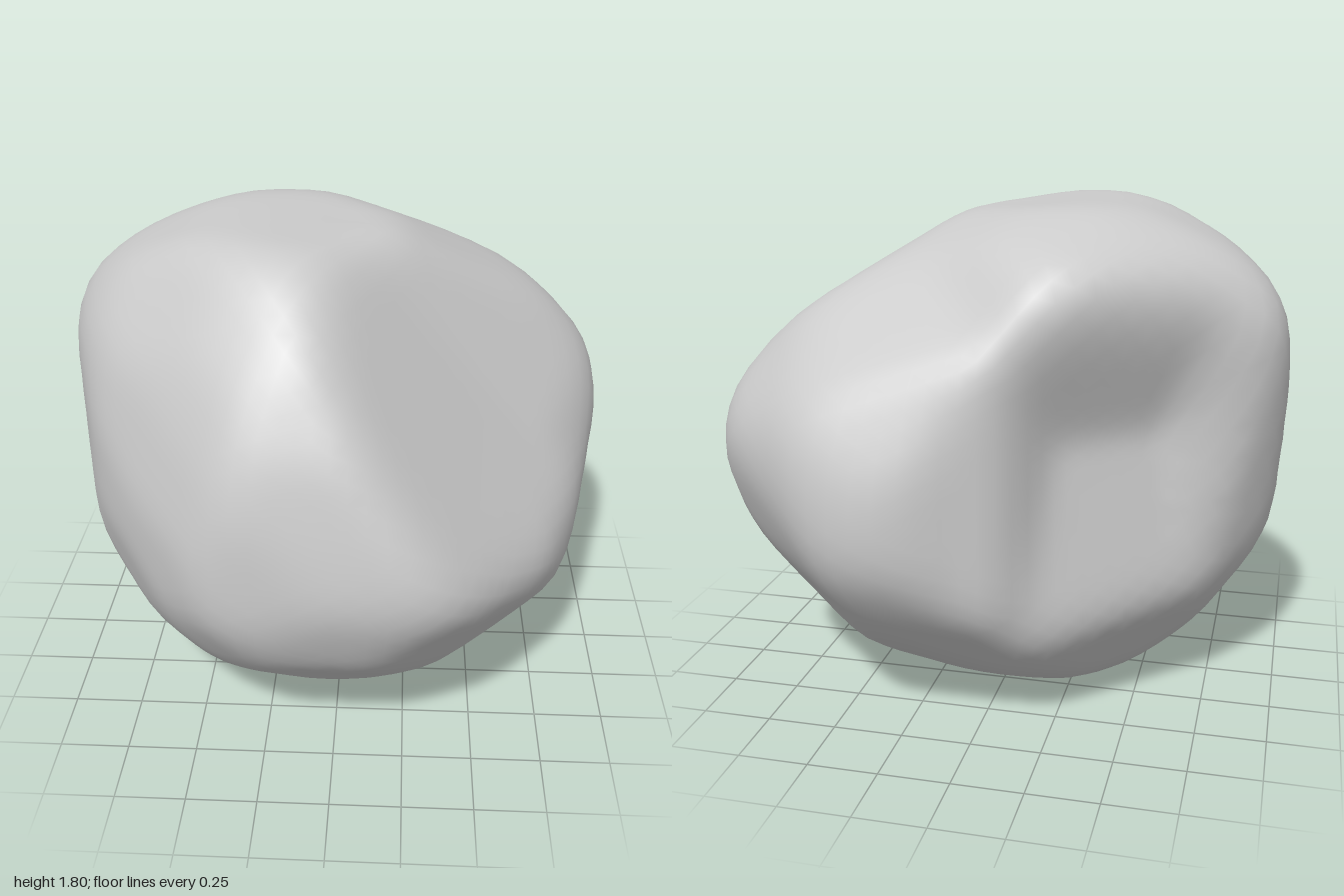
import * as THREE from 'three';
import { mergeVertices } from 'three/addons/utils/BufferGeometryUtils.js';

const rad = THREE.MathUtils.degToRad;

// Carving outlines [u,v, ...] around the boulder's middle, each cut along one direction
const front = [1, .03, .93, .27, .75, .48, .18, .85, -.29, .89, -.49, .87, -.78, .74, -.93, .62, -1, .4, -1, .08,
  -.96, -.25, -.88, -.42, -.68, -.68, -.43, -.87, -.3, -.9, .21, -.81, .53, -.69, .87, -.42, .97, -.14];
const side = [-.95, -.15, -.92, .07, -.86, .35, -.72, .65, -.5, .86, -.35, .9, .27, .88, .67, .74, .75, .67, .83, .35,
  .92, .1, .95, -.06, .93, -.24, .81, -.42, .55, -.71, .33, -.84, .11, -.9, -.15, -.9, -.44, -.81, -.84, -.43];
const plan = [.99, .33, .98, .49, .88, .63, .52, .91, .32, .95, .16, .92, 0, .83, -.26, .77, -.63, .54, -.94, .27,
  -1, .08, -.86, -.36, -.59, -.74, -.44, -.88, 0, -.95, .27, -.94, .46, -.88, .74, -.47, .88, -.11];
const cornerA = [1.09, .07, 1.09, -.18, .97, -.37, .63, -.66, .29, -.85, 0, -.9, -.33, -.86, -.71, -.63, -.89, -.37,
  -.91, .02, -.9, .32, -.8, .67, -.65, .86, -.48, .96, -.12, .98, .18, .96, .29, .91, .43, .74, .81, .49, .95, .38];
const cornerB = [.92, -.11, .91, .09, .83, .41, .73, .63, .5, .88, .37, .93, .03, .89, -.41, .72, -.85, .49,
  -1.05, .31, -1.09, -.02, -1, -.4, -.91, -.52, -.28, -.85, .03, -.94, .32, -.92, .64, -.74, .79, -.55];
const cornerC = [.9, .31, .87, .53, .69, .79, .38, .87, -.19, .85, -.33, .82, -.52, .61, -.65, .22, -.83, -.05,
  -.91, -.31, -.63, -.65, -.42, -.8, -.21, -.9, .2, -.94, .44, -.86, .59, -.77, .74, -.52, .81, -.17];

// Each cut: outline, heading and pitch of the carving direction
const cuts = [[front, 0, 0], [side, 90, 0], [plan, 0, 90], [cornerA, 40, 25], [cornerB, 220, 25], [cornerC, 140, -25]]
  .map(([outline, heading, pitch]) => {
    const h = rad(heading), p = rad(pitch);
    return {
      outline,
      right: new THREE.Vector3(Math.cos(h), 0, -Math.sin(h)),
      up: new THREE.Vector3(-Math.sin(h) * Math.sin(p), Math.cos(p), -Math.cos(h) * Math.sin(p)),
    };
  });

const plane = ([x, y, z, d]) => ({ normal: new THREE.Vector3(x, y, z).normalize(), d });

// Broken flat faces: normal and distance from the middle
const facets = [
  [-1, 1, 1, .96], [-1, -1, 1, .94], [1, -1, 1, .88], [1, -.5, -1, .99],
  [1, -1, -1, .94], [-1, -1, -1, .84], [-1, 1, -1, 1], [1, 1, -1, .97],
].map(plane);

// Hollows, cut only where all their planes overlap
const hollows = [
  // large, slightly dished flat face
  [[.735, .541, .416, .622], [.685, .479, .554, .602]],
  // hollow under the rear ledge: overhang, floor and two side walls
  [[-.57, -.33, -.75, .515], [-.59, .13, -.8, .615], [.15, 0, -1, .2], [-1, 0, -.5, .47]],
].map((planes) => planes.map(plane));

// Distance to a plane along a direction
function planeReach(dir, { normal, d }) {
  const k = dir.dot(normal);
  return k > .01 ? d / k : Infinity;
}

// Distance to an outline along the direction (a, b)
function reach(outline, a, b) {
  const n = outline.length;
  let best = Infinity;
  for (let i = 0; i < n; i += 2) {
    const px = outline[i], py = outline[i + 1];
    const ex = outline[(i + 2) % n] - px, ey = outline[(i + 3) % n] - py;
    const den = a * ey - b * ex;
    if (Math.abs(den) < 1e-9) continue;
    const t = (px * ey - py * ex) / den, w = (px * b - py * a) / den;
    if (t > 0 && w >= -1e-6 && w <= 1 + 1e-6) best = Math.min(best, t);
  }
  return best;
}

function carvedRadius(dir) {
  let r = Infinity;
  for (const c of cuts) r = Math.min(r, reach(c.outline, dir.dot(c.right), dir.dot(c.up)));
  for (const f of facets) r = Math.min(r, planeReach(dir, f));
  for (const h of hollows) r = Math.min(r, Math.max(...h.map((p) => planeReach(dir, p))));
  return r;
}

// Worn edges: average the radius over a small cone of directions
function wornRadius(dir) {
  const a = new THREE.Vector3(-dir.z, .3, dir.x).cross(dir).normalize();
  const b = new THREE.Vector3().crossVectors(dir, a);
  const d = new THREE.Vector3();
  let sum = carvedRadius(dir) * 2, count = 2;
  for (const spread of [.06, .12]) {
    for (let i = 0; i < 8; i++) {
      const t = i * Math.PI / 4 + spread * 5;
      d.copy(dir).addScaledVector(a, Math.cos(t) * spread).addScaledVector(b, Math.sin(t) * spread).normalize();
      sum += carvedRadius(d);
      count++;
    }
  }
  return 1.01 * sum / count; // makes up for the wear
}

export function createModel() {
  const group = new THREE.Group();
  group.name = 'rock';

  let geometry = new THREE.IcosahedronGeometry(1, 15);
  geometry.deleteAttribute('uv');
  geometry.deleteAttribute('normal');
  geometry = mergeVertices(geometry, 1e-4);
  const pos = geometry.attributes.position;
  const v = new THREE.Vector3();
  for (let i = 0; i < pos.count; i++) {
    v.fromBufferAttribute(pos, i).normalize();
    v.multiplyScalar(wornRadius(v));
    pos.setXYZ(i, v.x, v.y, v.z);
  }

  // Centre it and stand it on the ground
  geometry.computeBoundingBox();
  const mid = geometry.boundingBox.getCenter(new THREE.Vector3());
  geometry.translate(-mid.x, -geometry.boundingBox.min.y, -mid.z);
  geometry.computeVertexNormals();

  const boulder = new THREE.Mesh(geometry, new THREE.MeshStandardMaterial({ color: 0xcccccc }));
  boulder.name = 'boulder';
  group.add(boulder);
  return group;
}
